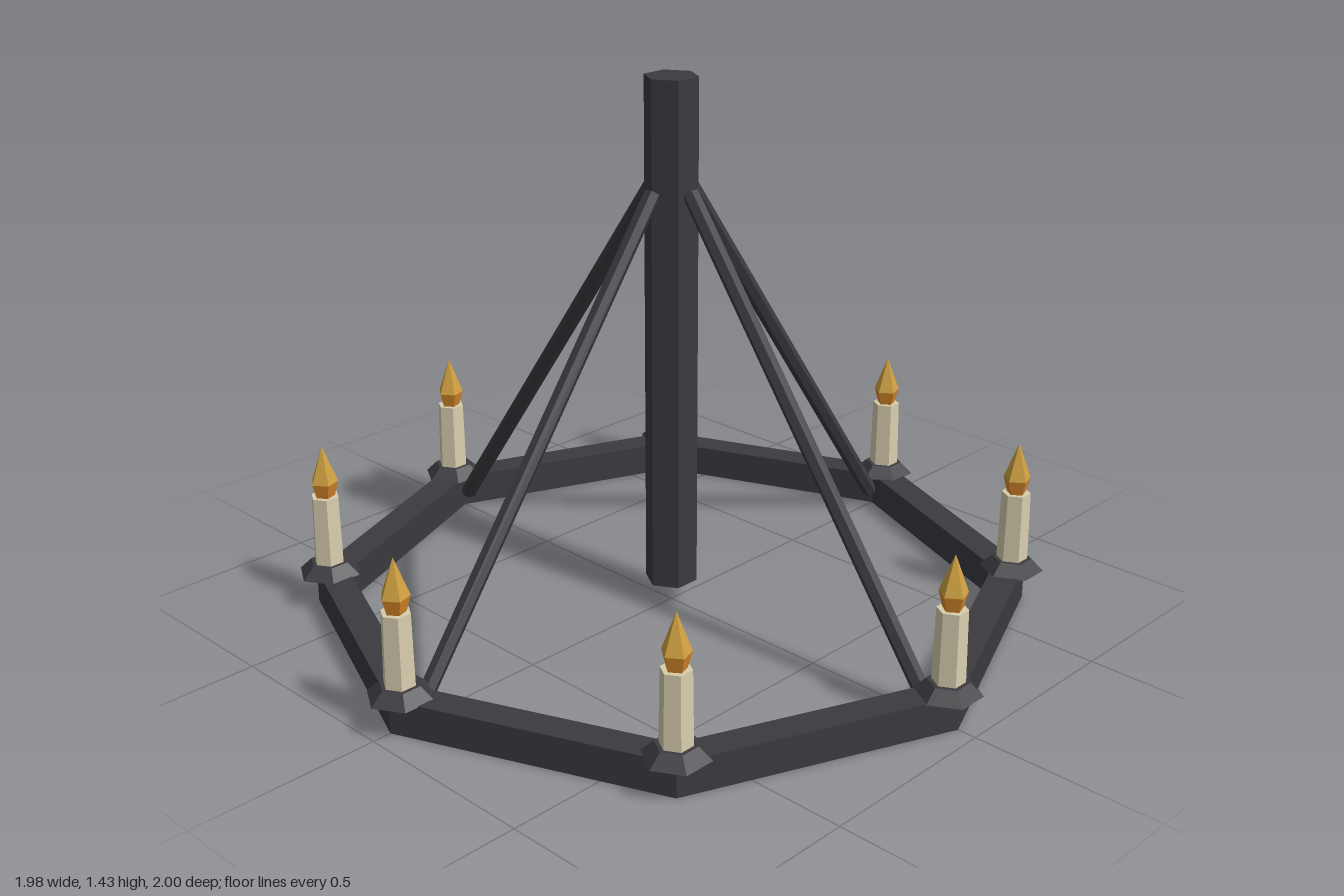
import * as THREE from 'three';

function material(name, color) {
  const m = new THREE.MeshStandardMaterial({ color, flatShading: true });
  m.name = name;
  return m;
}

function octagon(Type, radius) {
  const points = [];
  for (let i = 0; i < 8; i++) {
    const a = (i * Math.PI) / 4;
    points.push(new THREE.Vector2(Math.cos(a) * radius, Math.sin(a) * radius));
  }
  return new Type(points);
}

export function createModel() {
  const iron = material('dark iron', 0x3b3a40);
  const wax = material('cream wax', 0xd8ceae);
  const amber = material('amber flame', 0xdc8a2c);
  const gold = material('gold flame', 0xcfa040);

  const model = new THREE.Group();
  model.name = 'chandelier';

  const add = (parent, name, geometry, mat, y = 0) => {
    const mesh = new THREE.Mesh(geometry, mat);
    mesh.name = name;
    mesh.position.y = y;
    parent.add(mesh);
    return mesh;
  };
  // tapered prism standing on y = bottom
  const prism = (rTop, rBottom, bottom, top, sides) =>
    new THREE.CylinderGeometry(rTop, rBottom, top - bottom, sides).translate(0, (top + bottom) / 2, 0);

  // eight-sided ring
  const ringShape = octagon(THREE.Shape, 0.95);
  ringShape.holes.push(octagon(THREE.Path, 0.865));
  const ringGeometry = new THREE.ExtrudeGeometry(ringShape, { depth: 0.09, bevelEnabled: false });
  add(model, 'ring', ringGeometry.rotateX(-Math.PI / 2), iron);

  // central post
  add(model, 'post', prism(0.07, 0.07, 0.065, 1.43, 6), iron);

  // four sloping rods from the post to the ring
  const rodTop = new THREE.Vector3(0.065, 1.145, 0);
  const rodEnd = new THREE.Vector3(0.85, 0.045, 0);
  const along = rodTop.clone().sub(rodEnd);
  const rodGeometry = new THREE.CylinderGeometry(0.022, 0.022, along.length(), 6);
  rodGeometry.applyQuaternion(
    new THREE.Quaternion().setFromUnitVectors(new THREE.Vector3(0, 1, 0), along.normalize()));
  rodGeometry.translate(...rodTop.clone().add(rodEnd).multiplyScalar(0.5).toArray());
  for (let i = 0; i < 4; i++) {
    add(model, 'rod', rodGeometry, iron).rotation.y = (i * Math.PI) / 2;
  }

  // candle with its drip plate on every corner
  const plateGeometry = prism(0.052, 0.085, 0.088, 0.12, 6);
  const candleGeometry = prism(0.038, 0.041, 0.12, 0.31, 6);
  const flameBaseGeometry = prism(0.037, 0.026, 0.31, 0.35, 5);
  const flameTipGeometry = prism(0, 0.037, 0.35, 0.45, 5);
  for (let i = 0; i < 8; i++) {
    const a = (i * Math.PI) / 4;
    const holder = new THREE.Group();
    holder.name = 'candleHolder';
    holder.position.set(Math.cos(a) * 0.915, 0, Math.sin(a) * 0.915);
    add(holder, 'dripPlate', plateGeometry, iron);
    add(holder, 'candle', candleGeometry, wax);
    add(holder, 'flameBase', flameBaseGeometry, amber);
    add(holder, 'flameTip', flameTipGeometry, gold);
    model.add(holder);
  }
  return model;
}
